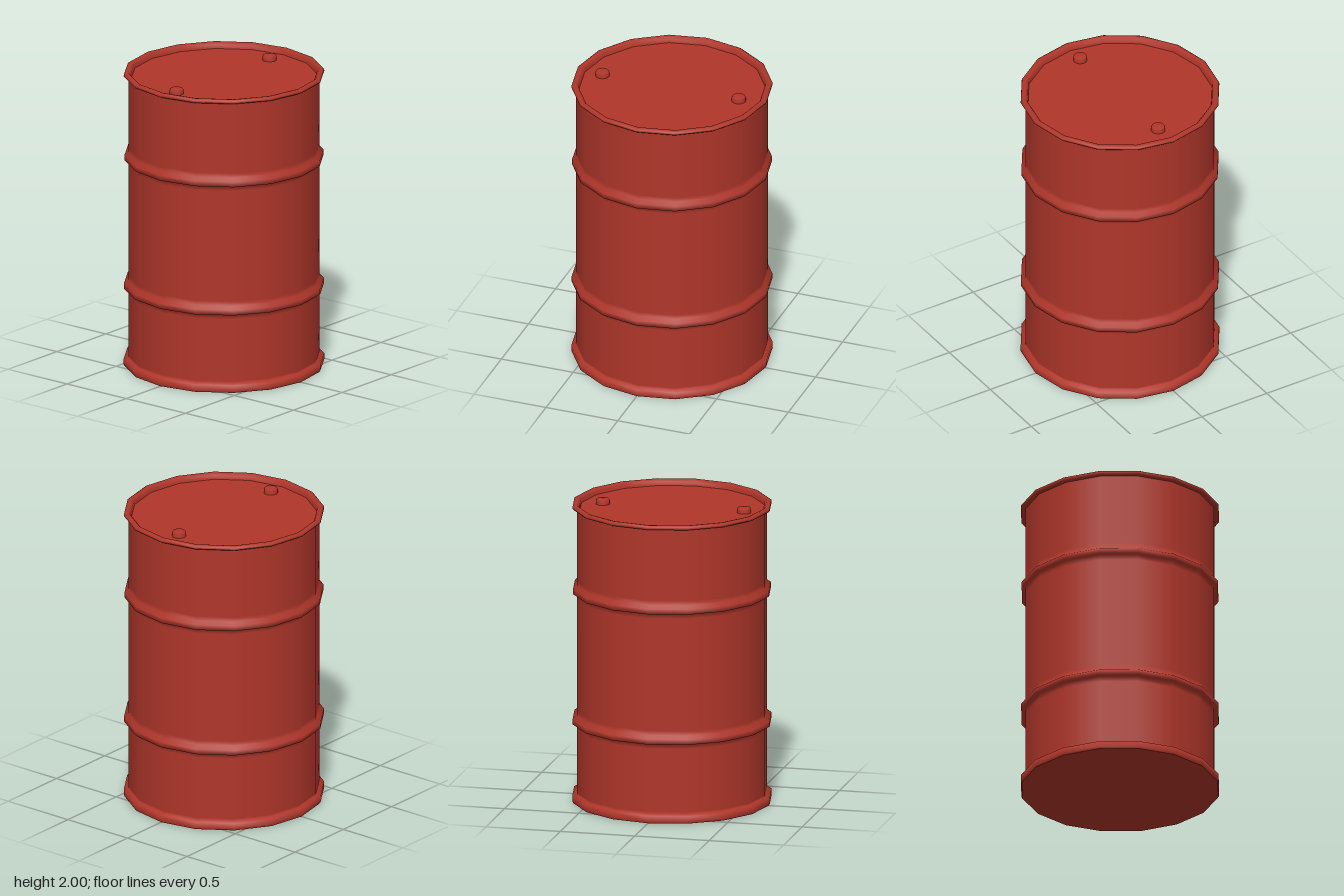
import * as THREE from 'three';

const SIDES = 16;
const R = 0.625; // wall radius

// Lathe mesh from [radius, height] pairs, ordered base to top
function turned(name, profile, material, sides = SIDES) {
  const points = profile.map(([r, y]) => new THREE.Vector2(r, y));
  const mesh = new THREE.Mesh(new THREE.LatheGeometry(points, sides), material);
  mesh.name = name;
  return mesh;
}

// Rolled hoop: flat underside, sloping top, softened into the wall
function hoop(y, r) {
  return [[R, y - 0.035], [R, y], [r, y], [r, y + 0.035], [R, y + 0.055], [R, y + 0.085]];
}

export function createModel() {
  const group = new THREE.Group();
  group.name = 'barrel';
  const paint = new THREE.MeshStandardMaterial({ color: 0xb0362a });

  // Wall with foot rim and two hoops
  group.add(turned('wall', [
    [0.65, 0], [0.657, 0.012], [0.657, 0.05], [R, 0.055], [R, 0.07],
    ...hoop(0.53, 0.655),
    ...hoop(1.405, 0.652),
    [R, 1.95], [R, 1.97],
  ], paint));

  // Rolled top rim, turning over and down to the recessed lid
  group.add(turned('topRim', [
    [R, 1.97], [0.65, 1.972], [0.657, 1.98], [0.655, 1.992],
    [0.642, 2], [0.625, 1.998], [0.612, 1.985], [0.608, 1.96],
  ], paint));

  // Flat ends
  group.add(turned('base', [[0, 0], [0.65, 0]], paint));
  group.add(turned('lid', [[0.608, 1.96], [0, 1.96]], paint));

  // Filler caps on the lid
  for (const [name, x] of [['leftCap', 0.465], ['rightCap', -0.485]]) {
    const cap = turned(name, [[0.046, 1.955], [0.046, 1.985], [0.04, 1.995], [0, 1.998]], paint);
    cap.position.x = x;
    group.add(cap);
  }
  return group;
}
